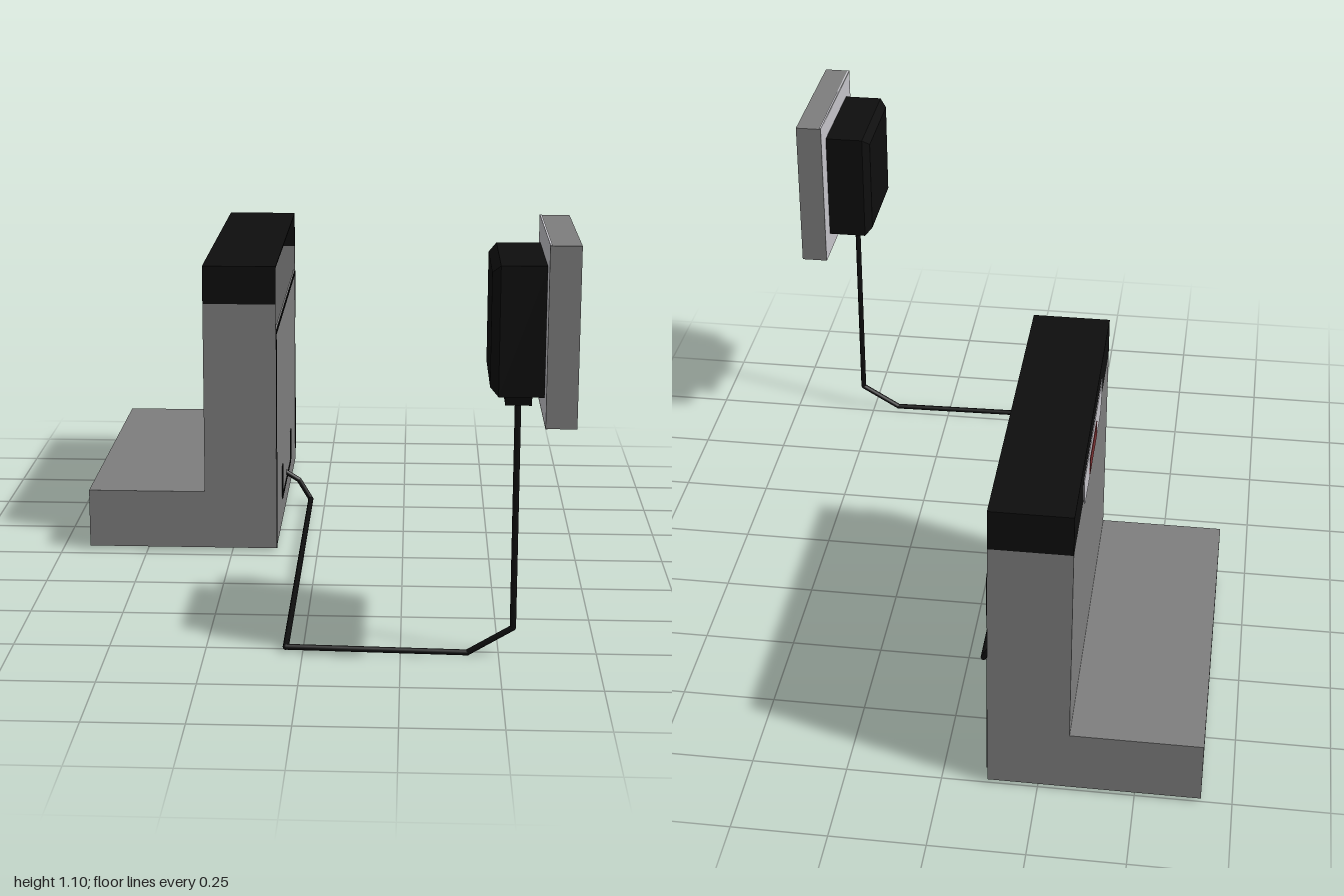
import * as THREE from 'three';

const paint = (name, color) => {
  const m = new THREE.MeshStandardMaterial({ color });
  m.name = name;
  return m;
};

export function createModel() {
  const model = new THREE.Group();
  model.name = 'chargingStation';
  const grey = paint('grey', 0x7e7e7e);
  const black = paint('black', 0x0e0e0e);
  const pale = paint('paleGrey', 0xc6c5cb);
  const red = paint('darkRed', 0x782d2f);
  const blackShell = paint('blackShell', 0x0e0e0e);
  blackShell.side = THREE.DoubleSide;

  const add = (parent, name, geometry, material) => {
    const mesh = new THREE.Mesh(geometry, material);
    mesh.name = name;
    parent.add(mesh);
    return mesh;
  };
  const group = (name) => {
    const g = new THREE.Group();
    g.name = name;
    model.add(g);
    return g;
  };
  // Box given by its limits on each axis
  const box = (parent, name, material, [x0, x1], [y0, y1], [z0, z1]) => {
    const mesh = add(parent, name, new THREE.BoxGeometry(x1 - x0, y1 - y0, z1 - z0), material);
    mesh.position.set((x0 + x1) / 2, (y0 + y1) / 2, (z0 + z1) / 2);
    return mesh;
  };
  // Thin plate facing sideways; shape runs along -z and +y
  const sidePlate = (parent, name, material, shape, x, depth) => {
    const geo = new THREE.ExtrudeGeometry(shape, { depth, bevelEnabled: false });
    geo.rotateY(Math.PI / 2).translate(x, 0, 0);
    return add(parent, name, geo, material);
  };

  const T = 0.005; // wall thickness
  const Z0 = -1, Z1 = -0.04, X0 = -0.33, X1 = -0.12;

  // Base: solid foot and hollow upright, open above its outer panel
  const base = group('base');
  box(base, 'foot', grey, [-0.67, X0], [0.01, 0.18], [Z0, Z1]);
  box(base, 'floor', grey, [X0, X1], [0.01, 0.01 + T], [Z0, Z1]);
  box(base, 'innerWall', grey, [X0, X0 + T], [0.01, 0.74], [Z0, Z1]);
  box(base, 'outerPanel', grey, [X1 - T, X1], [0.01, 0.66], [Z0, Z1]);
  // Cap: black hood open towards the outer side
  const cap = group('cap');
  box(cap, 'capRoof', black, [X0, X1], [0.85 - T, 0.85], [Z0, Z1]);
  box(cap, 'capWall', black, [X0, X0 + T], [0.74, 0.85 - T], [Z0, Z1]);
  for (const z of [Z0, Z1 - T]) {
    box(base, 'uprightEnd', grey, [X0, X1], [0.01, 0.74], [z, z + T]);
    box(cap, 'capEnd', black, [X0, X1], [0.74, 0.85 - T], [z, z + T]);
  }

  // Display let through the inner wall, with rounded lower corners
  const display = new THREE.Shape();
  display.moveTo(0.27, 0.8);
  display.lineTo(0.275, 0.765);
  display.quadraticCurveTo(0.285, 0.71, 0.32, 0.71);
  display.lineTo(0.72, 0.71);
  display.quadraticCurveTo(0.755, 0.71, 0.765, 0.765);
  display.lineTo(0.77, 0.8);
  const face = group('display');
  sidePlate(face, 'displayPlate', pale, display, X0 - 0.002, 0.009);
  box(face, 'indicator', red, [X0 - 0.004, X0 + 0.009], [0.725, 0.772], [-0.62, -0.44]);

  // Dark seams and cable bracket on the outer panel
  const seams = group('panelSeams');
  const seam = (name, y, z) => box(seams, name, black, [X1 - 0.001, X1 + 0.002], y, z);
  seam('topSeam', [0.65, 0.66], [-0.99, -0.045]);
  seam('leftSeam', [0.01, 0.655], [-0.055, -0.042]);
  seam('rightUpperSeam', [0.5, 0.655], [-1, -0.99]);
  seam('rightLowerSeam', [0.05, 0.41], [-1, -0.993]);
  seam('bracketProng', [0.085, 0.185], [-0.33, -0.3]);
  seam('bracketProng', [0.085, 0.185], [-0.745, -0.715]);
  seam('bracketBar', [0.079, 0.088], [-0.735, -0.31]);

  // Cable: straight runs with round joints
  const cable = group('cable');
  const R = 0.008;
  const path = [
    [-0.125, 0.108, -0.515], [-0.08, 0.08, -0.515], [-0.043, 0.018, -0.515],
    [-0.043, 0.015, 0.775], [0.42, 0.008, 0.775], [0.535, 0.077, 0.775], [0.535, 0.68, 0.775],
  ].map((p) => new THREE.Vector3(...p));
  for (let i = 1; i < path.length; i++) {
    const run = new THREE.LineCurve3(path[i - 1], path[i]);
    add(cable, 'cableRun', new THREE.TubeGeometry(run, 1, R, 8), black);
    add(cable, 'cableJoint', new THREE.SphereGeometry(R, 8, 6), black).position.copy(path[i]);
  }

  // Wall socket: pale plate with a square opening and a grey rim
  const socket = group('wallSocket');
  const square = (Path, h) => new Path([[-h, -h], [h, -h], [h, h], [-h, h]]
    .map(([a, b]) => new THREE.Vector2(a - 0.775, b + 0.88)));
  const plate = square(THREE.Shape, 0.222);
  plate.holes.push(square(THREE.Path, 0.159));
  sidePlate(socket, 'socketPlate', pale, plate, 0.59, T);
  for (const s of [-1, 1]) {
    const z = 0.775 + s * 0.2225, y = 0.88 + s * 0.2175;
    box(socket, 'rimSide', grey, [0.59, 0.665], [0.66, 1.1], [z - 0.0025, z + 0.0025]);
    box(socket, 'rimEdge', grey, [0.59, 0.665], [y - 0.0025, y + 0.0025], [0.55, 1]);
  }

  // Plug: hollow chamfered shell, open towards the wall
  const plug = group('plug');
  const D = Math.SQRT2;
  const profile = [[0, 0], [0.14 * D, 0], [0.16 * D, 0.02], [0.16 * D, 0.133]]
    .map(([r, h]) => new THREE.Vector2(r, h));
  const shell = new THREE.LatheGeometry(profile, 4, Math.PI / 4).toNonIndexed();
  shell.computeVertexNormals();
  shell.rotateZ(-Math.PI / 2).translate(0.46, 0.88, 0.775);
  add(plug, 'plugShell', shell, blackShell);
  // Tapered strain relief under the plug
  const neck = new THREE.Shape([[-0.07, 0.725], [-0.035, 0.668], [0.035, 0.668], [0.07, 0.725]]
    .map(([a, b]) => new THREE.Vector2(a - 0.775, b)));
  sidePlate(plug, 'strainRelief', black, neck, 0.502, 0.065);

  return model;
}
